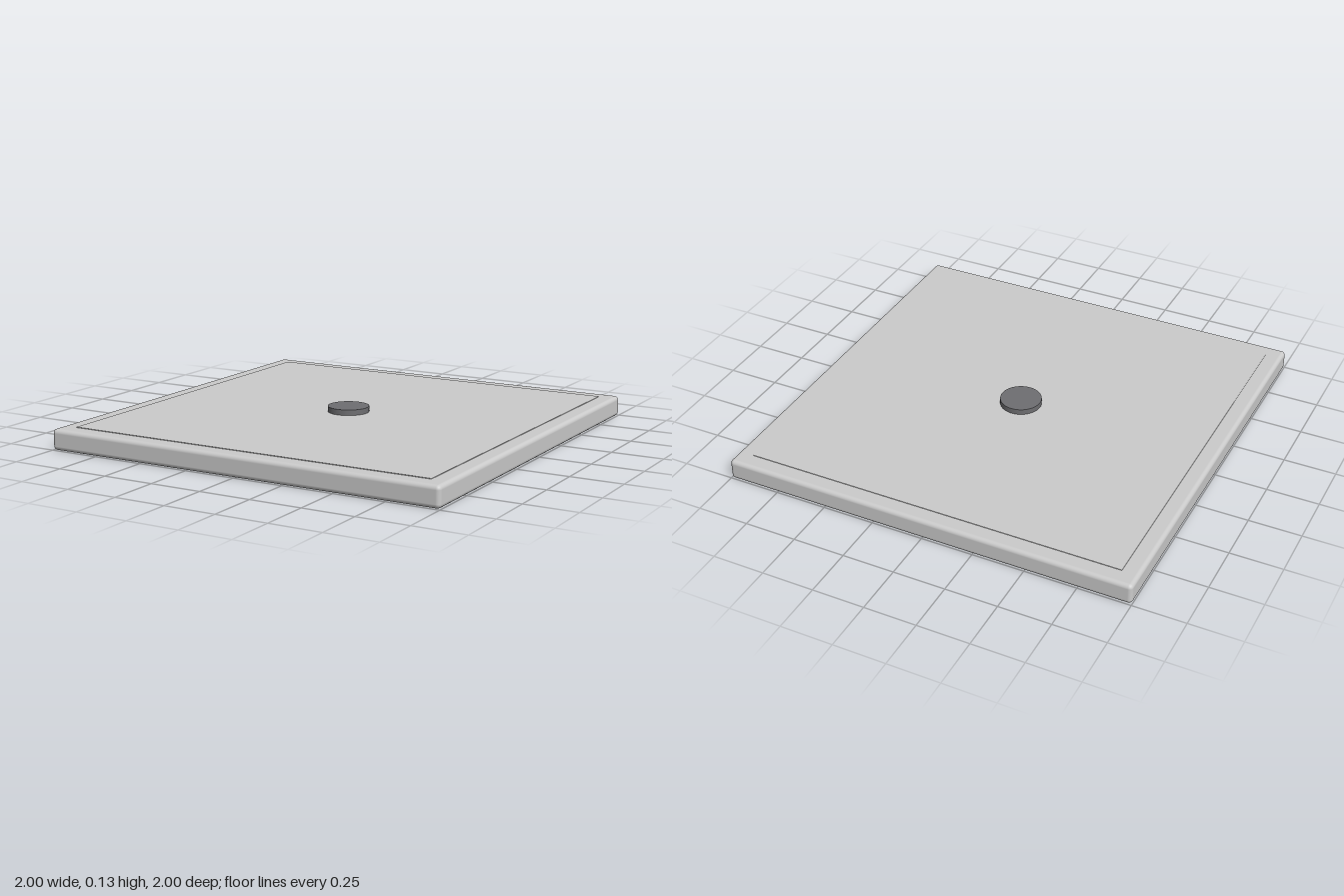
import * as THREE from 'three';
import { RoundedBoxGeometry } from 'three/addons/geometries/RoundedBoxGeometry.js';

export function createModel() {
  const model = new THREE.Group();
  const grey = new THREE.MeshStandardMaterial({ color: 0xcccccc });
  const dark = new THREE.MeshStandardMaterial({ color: 0x6e6e71 });

  const add = (name, geometry, material, y) => {
    const mesh = new THREE.Mesh(geometry, material);
    mesh.name = name;
    mesh.position.y = y;
    model.add(mesh);
  };

  // Square slab with softly rounded edges
  add('slab', new RoundedBoxGeometry(2, 0.1, 2, 3, 0.02), grey, 0.05);

  // Thin inset panel, standing just proud of the slab
  add('topPanel', new THREE.BoxGeometry(1.84, 0.013, 1.84), grey, 0.0965);

  // Round central disc
  add('centreDisc', new THREE.CylinderGeometry(0.1, 0.1, 0.03, 48), dark, 0.115);

  return model;
}
